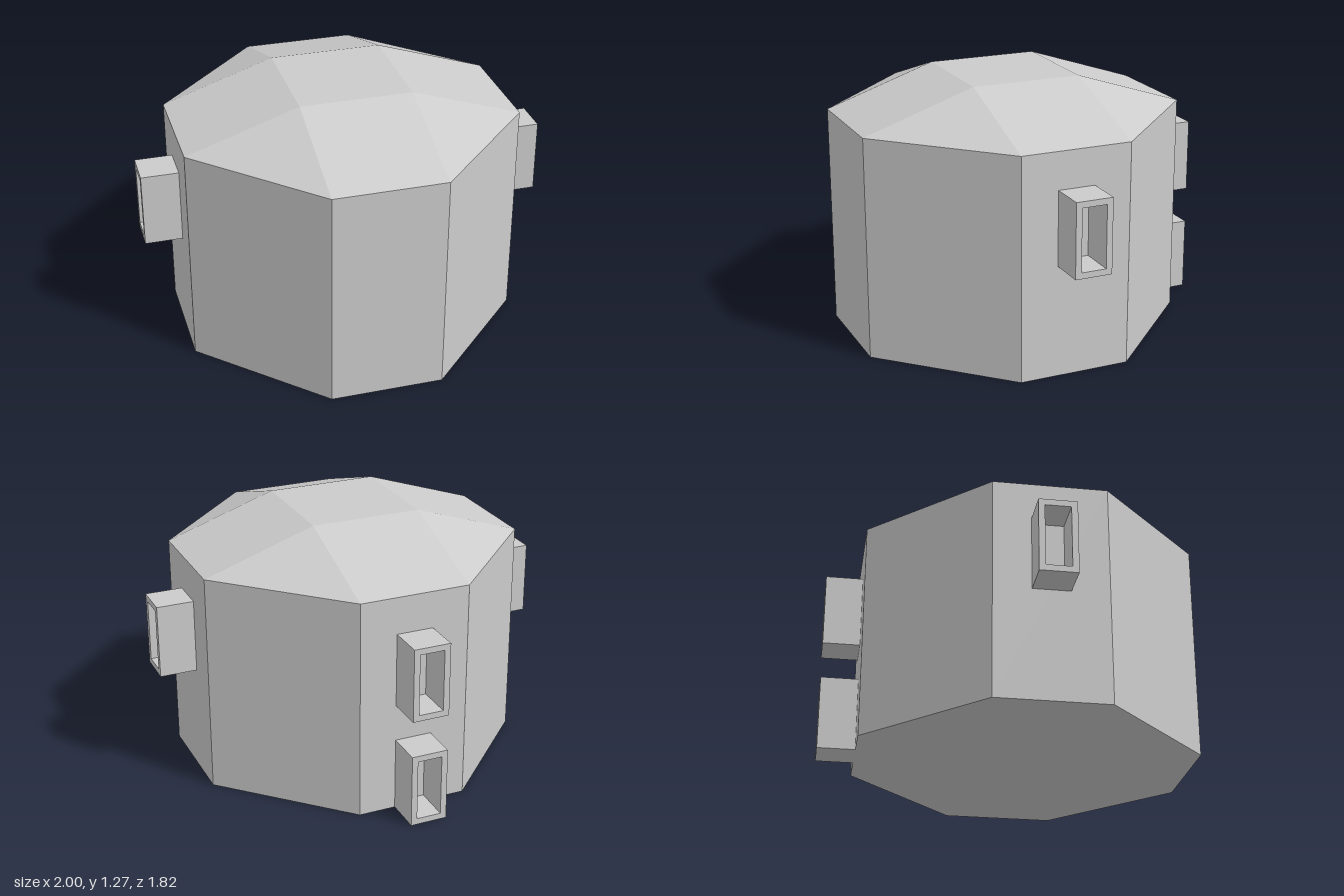
import * as THREE from 'three';
import { ConvexGeometry } from 'three/addons/geometries/ConvexGeometry.js';

const U = 1 / 11;          // layout module
const HALF = 9 * U;        // half width of the octagonal body
const CORNER = 3 * U;      // where the cut corners begin
const EAVE = 12 * U, TOP = 14 * U;
const CENTRE_Z = U;
const PORT_W = 2 * U, PORT_H = 4 * U, PORT_D = 2 * U, RIM = 0.03;

// Rectangular frame lying on its wall and opening toward +z
function portGeometry() {
  const rect = (Kind, w, h) => new Kind([
    new THREE.Vector2(-w, -h), new THREE.Vector2(w, -h),
    new THREE.Vector2(w, h), new THREE.Vector2(-w, h),
  ]);
  const frame = rect(THREE.Shape, PORT_W / 2, PORT_H / 2);
  frame.holes.push(rect(THREE.Path, PORT_W / 2 - RIM, PORT_H / 2 - RIM));
  return new THREE.ExtrudeGeometry(frame, { depth: PORT_D, bevelEnabled: false });
}

export function createModel() {
  const group = new THREE.Group();
  const material = new THREE.MeshStandardMaterial({ color: 0xcccccc, flatShading: true });

  // Octagonal walls with a faceted roof rising to a flat square
  const points = [];
  for (const sx of [-1, 1]) {
    for (const sz of [-1, 1]) {
      for (const y of [0, EAVE]) {
        points.push(new THREE.Vector3(sx * HALF, y, sz * CORNER));
        points.push(new THREE.Vector3(sx * CORNER, y, sz * HALF));
      }
      points.push(new THREE.Vector3(sx * CORNER, TOP, sz * CORNER));
    }
  }
  const body = new THREE.Mesh(new ConvexGeometry(points), material);
  body.name = 'octagonalBody';
  body.position.z = CENTRE_Z;
  group.add(body);

  // Hollow ports: one on each side, two stacked at the back
  const geometry = portGeometry();
  const addPort = (name, angle, bottom) => {
    const port = new THREE.Mesh(geometry, material);
    port.name = name;
    port.rotation.y = angle;
    port.position.set(Math.sin(angle) * HALF, bottom + PORT_H / 2, CENTRE_Z + Math.cos(angle) * HALF);
    group.add(port);
  };
  addPort('leftPort', Math.PI / 2, 6 * U);
  addPort('rightPort', -Math.PI / 2, 6 * U);
  addPort('upperBackPort', Math.PI, 6 * U);
  addPort('lowerBackPort', Math.PI, 0);

  return group;
}
